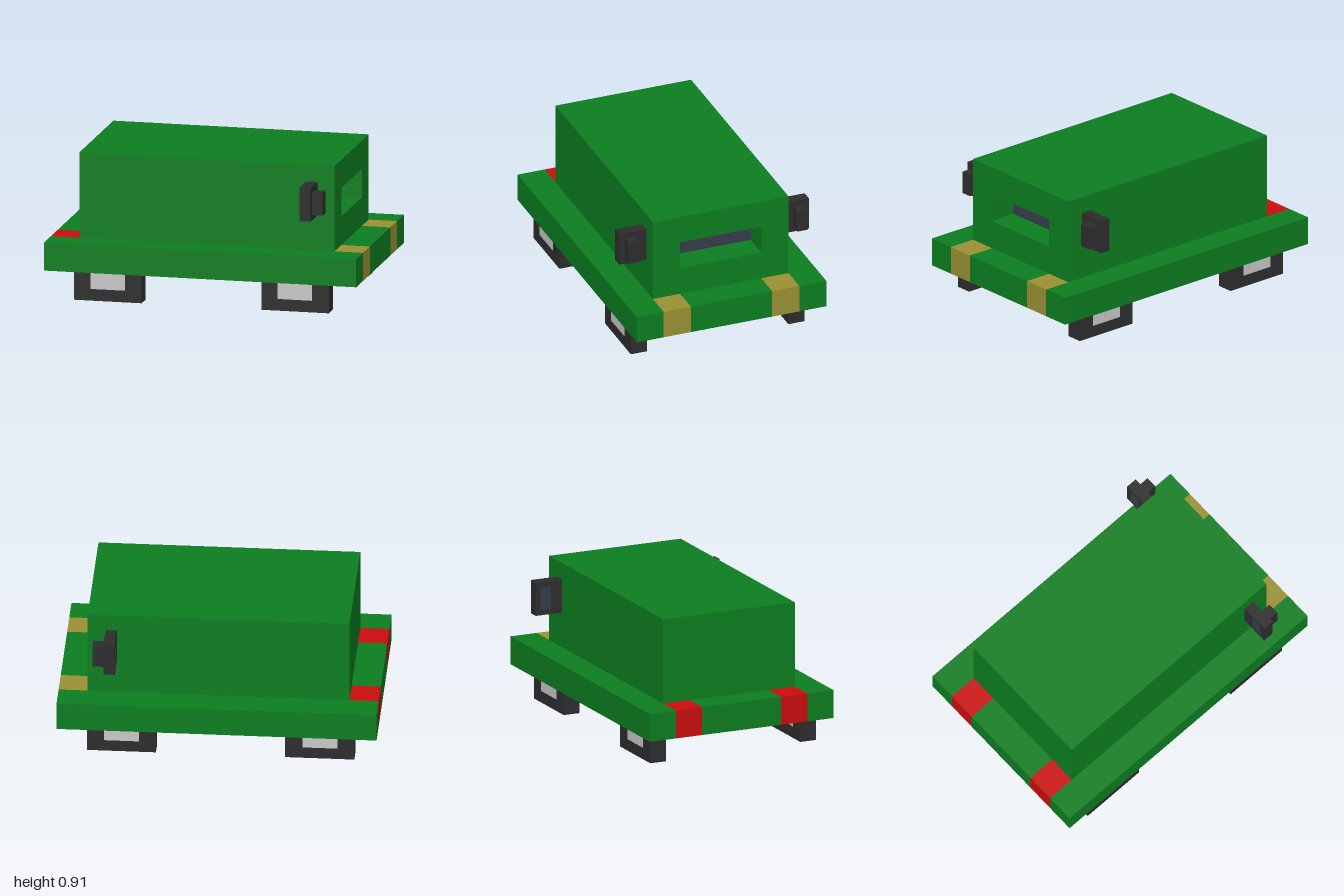
import * as THREE from 'three';

const material = (name, color) => {
  const m = new THREE.MeshStandardMaterial({ color });
  m.name = name;
  return m;
};

export function createModel() {
  const green = material('body green', 0x0c7e20);
  const black = material('rubber black', 0x2d2d2d);
  const grey = material('hub grey', 0xc8c8c8);
  const red = material('tail light red', 0xcb0d0d);
  const yellow = material('headlight yellow', 0x9a9033);
  const glass = material('window glass', 0x363c4c);

  const model = new THREE.Group();
  model.name = 'van';

  // Box given by its extents along each axis
  const box = (name, mat, [x0, x1], [y0, y1], [z0, z1], parent = model) => {
    const mesh = new THREE.Mesh(new THREE.BoxGeometry(x1 - x0, y1 - y0, z1 - z0), mat);
    mesh.position.set((x0 + x1) / 2, (y0 + y1) / 2, (z0 + z1) / 2);
    mesh.name = name;
    parent.add(mesh);
  };
  // Same extent on the +z or -z side
  const side = (s, a, b) => (s > 0 ? [a, b] : [-b, -a]);

  const baseY = [0.184, 0.364];
  const cabinX = 0.818, cabinZ = 0.455, windowZ = 0.273;

  // Base slab, with bumper strips broken up by full-height lights
  box('base', green, [-cabinX, cabinX], baseY, [-0.636, 0.636]);
  for (const end of [1, -1]) {
    const x = side(end, cabinX, 1);
    box('bumperMiddle', green, x, baseY, [-windowZ, windowZ]);
    for (const s of [1, -1]) {
      box('bumperCorner', green, x, baseY, side(s, cabinZ, 0.636));
      box(end > 0 ? 'headlight' : 'tailLight', end > 0 ? yellow : red, x, baseY, side(s, windowZ, cabinZ));
    }
  }

  // Cabin, with a front wall holding a recessed window
  const wallX = 0.636;
  box('cabin', green, [-cabinX, wallX], [0.364, 0.909], [-cabinZ, cabinZ]);
  const rect = (target, z, y0, y1) =>
    target.moveTo(-z, y0).lineTo(z, y0).lineTo(z, y1).lineTo(-z, y1).closePath();
  const wall = rect(new THREE.Shape(), cabinZ, 0.364, 0.909);
  wall.holes.push(rect(new THREE.Path(), windowZ, 0.547, 0.729));
  const wallGeometry = new THREE.ExtrudeGeometry(wall, { depth: cabinX - wallX, bevelEnabled: false });
  wallGeometry.rotateY(Math.PI / 2);
  const frontWall = new THREE.Mesh(wallGeometry, green);
  frontWall.position.x = wallX;
  frontWall.name = 'cabinFront';
  model.add(frontWall);
  box('windscreen', glass, [wallX, wallX + 0.004], [0.547, 0.729], [-windowZ, windowZ]);

  // Square wheels with hub plates on both faces
  const addWheel = (name, x0, [z0, z1]) => {
    const wheel = new THREE.Group();
    wheel.name = name;
    model.add(wheel);
    box('tyre', black, [x0, x0 + 0.432], [0, 0.3], [z0, z1], wheel);
    for (const z of [[z0 - 0.002, z0], [z1, z1 + 0.002]]) {
      box('hub', grey, [x0 + 0.105, x0 + 0.325], [0.075, 0.28], z, wheel);
    }
  };
  addWheel('frontLeftSideWheel', 0.384, [0.494, 0.602]);
  addWheel('rearLeftSideWheel', -0.816, [0.494, 0.602]);
  addWheel('frontRightSideWheel', 0.384, [-0.563, -0.455]);
  addWheel('rearRightSideWheel', -0.856, [-0.563, -0.455]);

  // Wing mirrors: plate, front housing and reflective back
  for (const s of [1, -1]) {
    const mirror = new THREE.Group();
    mirror.name = 'wingMirror';
    model.add(mirror);
    const inner = side(s, 0.53, 0.602);
    box('mirrorPlate', black, [0.636, 0.707], [0.587, 0.802], side(s, cabinZ, 0.636), mirror);
    box('mirrorHousing', black, [0.707, 0.777], [0.622, 0.766], inner, mirror);
    box('mirrorGlass', glass, [0.634, 0.636], [0.622, 0.766], inner, mirror);
  }

  return model;
}
